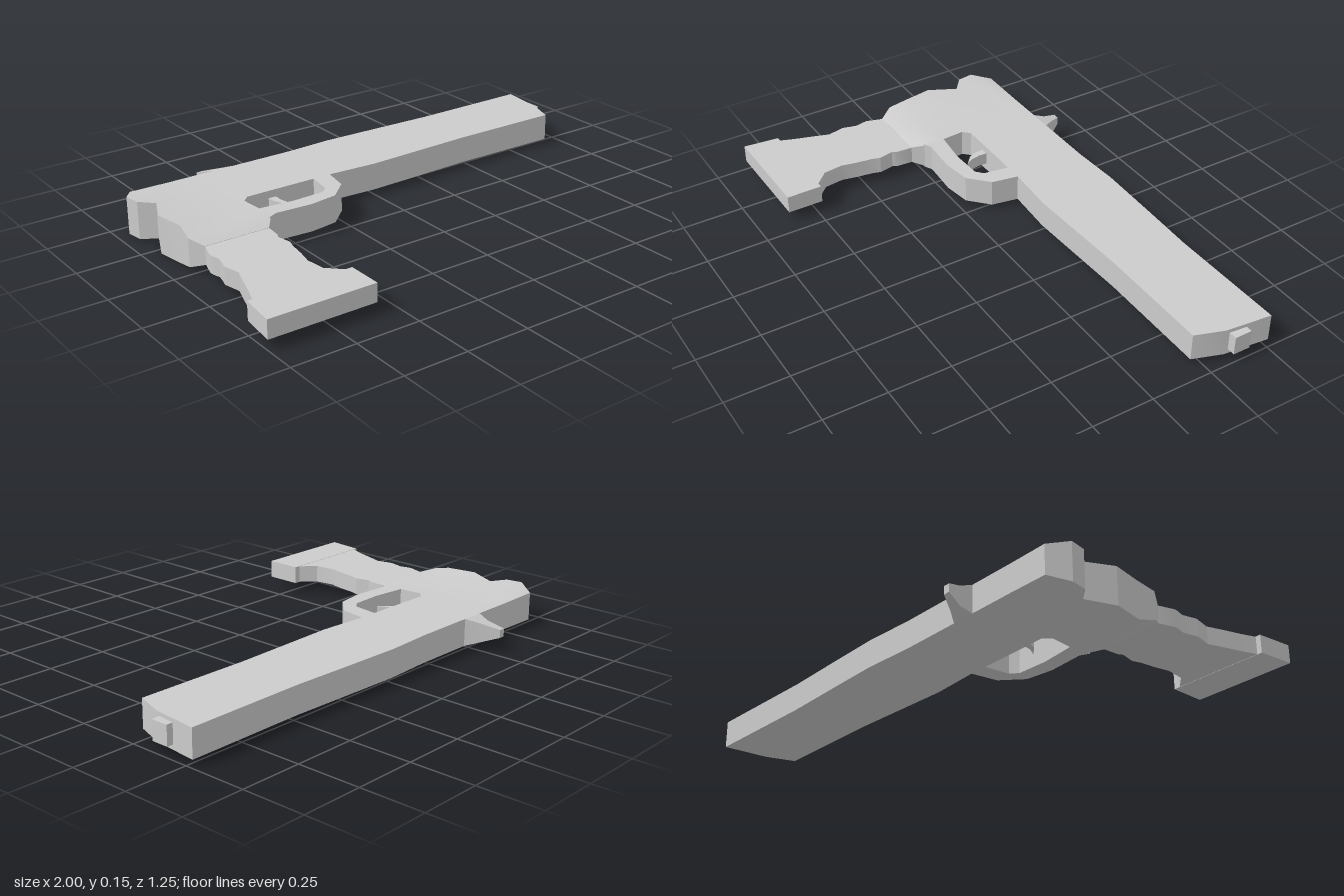
import * as THREE from 'three';
import { toCreasedNormals } from 'three/addons/utils/BufferGeometryUtils.js';

const MID = 0.075; // height of the symmetry plane
const material = new THREE.MeshStandardMaterial({ color: 0xcccccc });

function mesh(name, geometry) {
  const m = new THREE.Mesh(toCreasedNormals(geometry, 0.4), material);
  m.name = name;
  m.position.y = MID;
  return m;
}

// Flat plate from an [x, z] outline, half thickness h about the symmetry plane
function plate(outline, h) {
  const shape = new THREE.Shape(outline.map(([x, z]) => new THREE.Vector2(x, -z)));
  const g = new THREE.ExtrudeGeometry(shape, { depth: 2 * h, bevelEnabled: false });
  return g.translate(0, 0, -h).rotateX(-Math.PI / 2);
}

// Loft along z; each section is [z, back x, front x, half thickness at back, at front]
function loft(sections) {
  const pos = [];
  const rings = sections.map(([z, xl, xr, hb, hf]) => {
    const xm = xl + (xr - xl) * 0.55;
    return [[xl, -hb, z], [xm, -hf, z], [xr, -hf, z], [xr, hf, z], [xm, hf, z], [xl, hb, z]];
  });
  const quad = (a, b, c, d) => pos.push(...a, ...b, ...c, ...a, ...c, ...d);
  for (let k = 0; k < rings.length - 1; k++) {
    const r = rings[k], s = rings[k + 1];
    for (let i = 0; i < 6; i++) {
      const j = (i + 1) % 6;
      quad(r[i], r[j], s[j], s[i]);
    }
  }
  const f = rings[0], e = rings[rings.length - 1];
  quad(f[5], f[4], f[1], f[0]);
  quad(f[4], f[3], f[2], f[1]);
  quad(e[0], e[1], e[4], e[5]);
  quad(e[1], e[2], e[3], e[4]);
  const g = new THREE.BufferGeometry();
  g.setAttribute('position', new THREE.Float32BufferAttribute(pos, 3));
  g.computeVertexNormals();
  return g;
}

export function createModel() {
  const group = new THREE.Group();
  group.name = 'pistol';

  // Long slide
  group.add(mesh('slide', plate([
    [-0.6, -0.515], [-0.2, -0.515], [0, -0.525], [0.25, -0.518], [0.49, -0.51], [0.985, -0.515],
    [0.965, -0.33], [0.925, -0.215], [0.46, -0.217], [0, -0.2], [-0.2, -0.213], [-0.6, -0.215],
  ], 0.055)));

  // Rear frame, swelling toward the back edge
  group.add(mesh('rearFrame', loft([
    [-0.515, -0.9, -0.6, 0.057, 0.055],
    [-0.44, -0.95, -0.6, 0.075, 0.055],
    [-0.375, -0.94, -0.6, 0.075, 0.055],
    [-0.33, -0.885, -0.6, 0.071, 0.055],
    [-0.215, -0.935, -0.6, 0.075, 0.055],
    [-0.095, -0.915, -0.59, 0.075, 0.055],
    [-0.02, -0.925, -0.585, 0.056, 0.055],
    [0.035, -0.89, -0.63, 0.036, 0.036],
  ])));

  // Grip with wavy finger grooves
  group.add(mesh('grip', loft([
    [0.035, -0.89, -0.63], [0.1, -0.91, -0.635], [0.12, -0.908, -0.645], [0.15, -0.9, -0.638],
    [0.18, -0.907, -0.632], [0.21, -0.915, -0.642], [0.28, -0.9, -0.652], [0.34, -0.92, -0.665],
    [0.42, -0.945, -0.655], [0.475, -0.965, -0.6],
  ].map((s) => [...s, 0.035, 0.035]))));

  // Flared magazine base
  group.add(mesh('magazineBase', plate(
    [[-0.985, 0.475], [-1, 0.62], [-0.575, 0.62], [-0.575, 0.475]], 0.036)));

  // Trigger guard
  group.add(mesh('triggerGuard', plate([
    [-0.2, -0.215], [-0.22, -0.105], [-0.3, -0.03], [-0.415, -0.013], [-0.565, -0.023], [-0.6, -0.005],
    [-0.6, -0.095], [-0.585, -0.095], [-0.45, -0.08], [-0.32, -0.085], [-0.29, -0.11], [-0.275, -0.215],
  ], 0.055)));

  // Small fillet at the upper rear corner of the guard opening
  group.add(mesh('guardFillet', plate([[-0.6, -0.215], [-0.6, -0.185], [-0.57, -0.215]], 0.055)));

  // Curved trigger
  group.add(mesh('trigger', plate([
    [-0.478, -0.22], [-0.475, -0.18], [-0.46, -0.145], [-0.42, -0.11],
    [-0.44, -0.145], [-0.447, -0.18], [-0.445, -0.22],
  ], 0.025)));

  // Hammer spur, thinning toward its tip
  const spur = plate([
    [-0.55, -0.515], [-0.54, -0.56], [-0.558, -0.625], [-0.532, -0.625], [-0.49, -0.56], [-0.455, -0.515],
  ], 1);
  const p = spur.attributes.position;
  for (let i = 0; i < p.count; i++) {
    const t = (-p.getZ(i) - 0.515) / 0.11;
    p.setY(i, p.getY(i) * THREE.MathUtils.lerp(0.055, 0.016, t));
  }
  spur.computeVertexNormals();
  group.add(mesh('hammer', spur));

  // Barrel stub at the muzzle
  const stub = new THREE.BoxGeometry(0.06, 0.076, 0.07).translate(0.97, 0.002, -0.38);
  group.add(mesh('barrelStub', stub));

  return group;
}
